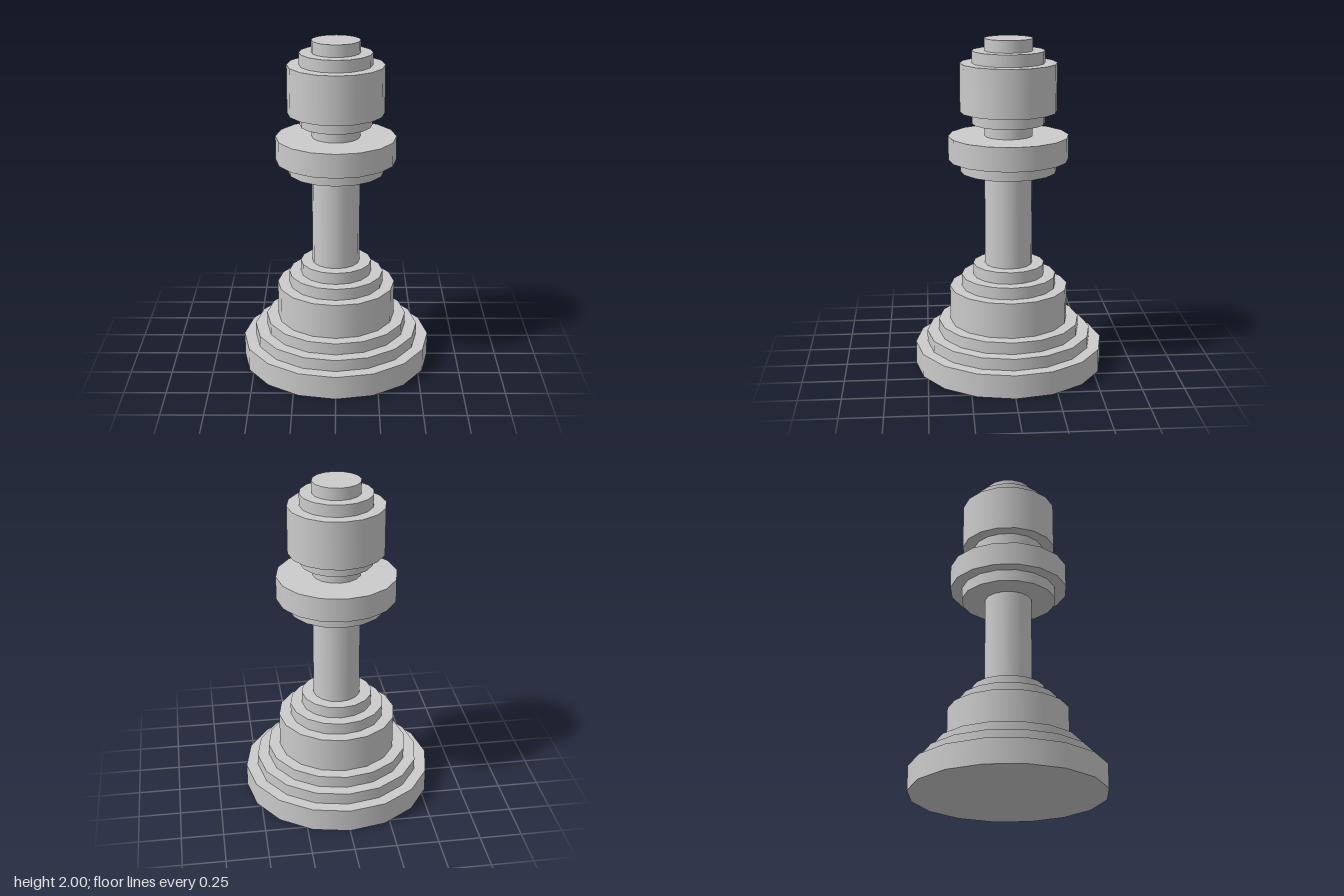
import * as THREE from 'three';

const UNIT = 1 / 14; // the whole piece is 28 units tall
const SIDES = 16;

// Stacked discs from the ground up: [name, radius, height] in units
const TIERS = [
  ['base', 8, 2],
  ['lowerBaseStep', 7, 1],
  ['upperBaseStep', 6, 1],
  ['pedestal', 5, 3],
  ['lowerShoulder', 4, 1],
  ['upperShoulder', 3, 1],
  ['stem', 2, 8],
  ['collarSupport', 4, 1],
  ['collar', 5, 2],
  ['neck', 2, 1],
  ['headBottom', 3, 1],
  ['head', 4, 4],
  ['headTop', 3, 1],
  ['crown', 2, 1],
];

export function createModel() {
  const group = new THREE.Group();
  group.name = 'pawn';
  const material = new THREE.MeshStandardMaterial({ color: 0xcccccc });

  let y = 0;
  for (const [name, radius, height] of TIERS) {
    const r = radius * UNIT;
    const h = height * UNIT;
    const mesh = new THREE.Mesh(new THREE.CylinderGeometry(r, r, h, SIDES), material);
    mesh.name = name;
    mesh.position.y = y + h / 2;
    group.add(mesh);
    y += h;
  }
  return group;
}
